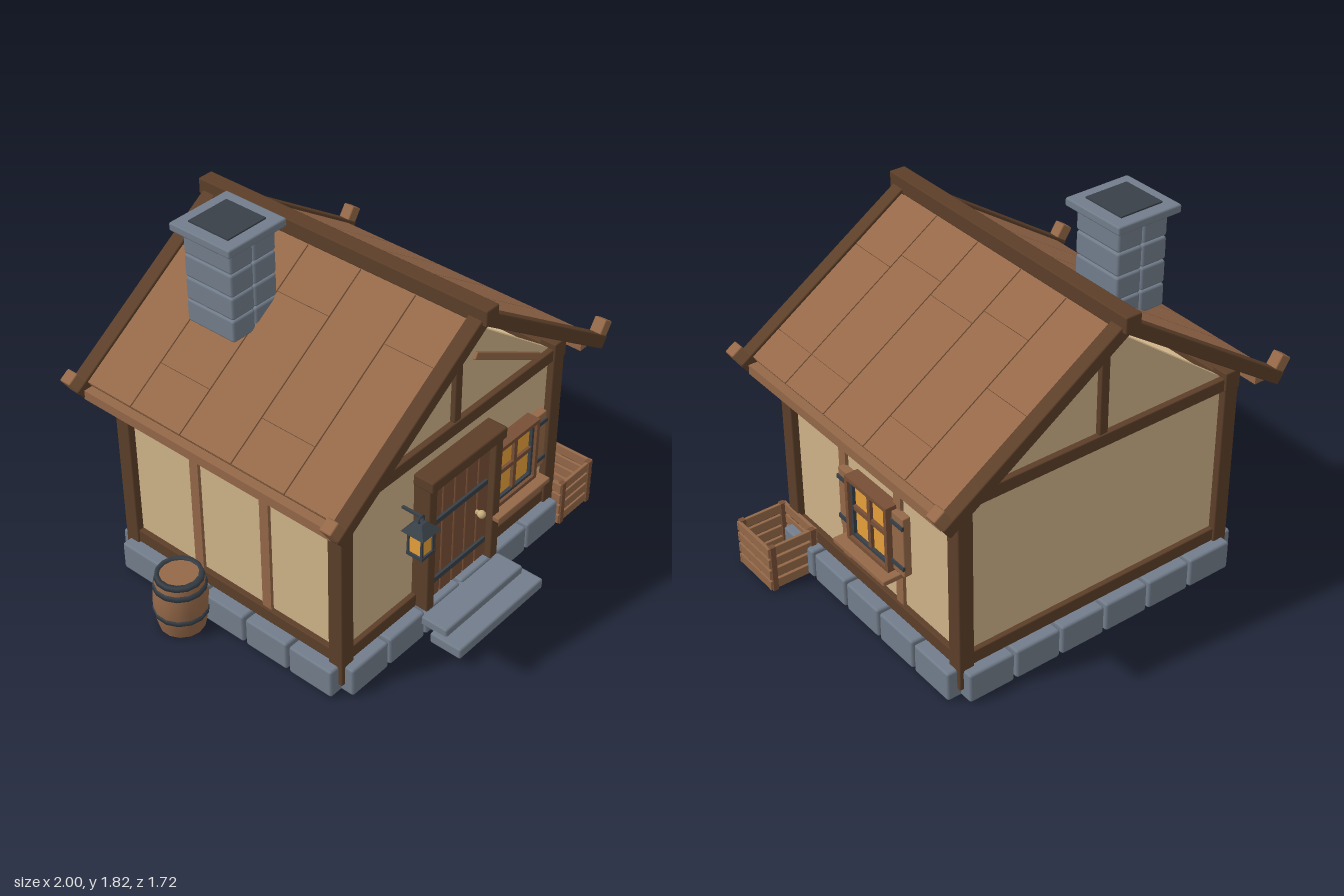
import * as THREE from 'three';
import { RoundedBoxGeometry } from 'three/addons/geometries/RoundedBoxGeometry.js';

const mat = (name, color) => {
  const m = new THREE.MeshStandardMaterial({ color });
  m.name = name;
  return m;
};

export function createModel() {
  const plaster = mat('plaster', 0xcfb388);
  const timber = mat('darkTimber', 0x5c3f29);
  const wood = mat('lightWood', 0x946848);
  const doorWood = mat('doorWood', 0x774f35);
  const stone = mat('stone', 0x727d8b);
  const iron = mat('iron', 0x384048);
  const glass = mat('warmGlass', 0xe6a03a);
  const brass = mat('brass', 0xc8ae7c);

  const Z = -0.07; // middle of the house in z
  const root = new THREE.Group();
  root.name = 'cottage';

  const group = (name, parent = root) => {
    const g = new THREE.Group();
    g.name = name;
    parent.add(g);
    return g;
  };
  const add = (parent, name, geo, m) => {
    const mesh = new THREE.Mesh(geo, m);
    mesh.name = name;
    parent.add(mesh);
    return mesh;
  };
  // Box given by its limits, with an optional softened edge
  const box = (parent, name, m, x0, x1, y0, y1, z0, z1, r = 0) => {
    const s = [x1 - x0, y1 - y0, z1 - z0];
    const geo = r ? new RoundedBoxGeometry(...s, 1, r) : new THREE.BoxGeometry(...s);
    const mesh = add(parent, name, geo, m);
    mesh.position.set((x0 + x1) / 2, (y0 + y1) / 2, (z0 + z1) / 2);
    return mesh;
  };

  // Stone footing: four rows that leave a notch at each corner for the post
  const footing = group('footing');
  for (let i = 0; i < 6; i++) {
    const x = (i - 2.5) * 0.246;
    for (const s of [-1, 1]) {
      const z = Z + s * 0.62;
      box(footing, 'footingStone', stone, x - 0.117, x + 0.117, 0.01, 0.158, z - 0.075, z + 0.075, 0.012);
    }
  }
  for (let i = 0; i < 5; i++) {
    const z = Z + (i - 2) * 0.255;
    for (const s of [-1, 1]) {
      const x = s * 0.725;
      box(footing, 'footingStone', stone, x - 0.075, x + 0.075, 0.01, 0.158, z - 0.12, z + 0.12, 0.012);
    }
  }

  // Plaster walls and gables
  const walls = group('walls');
  box(walls, 'wallBlock', plaster, -0.715, 0.715, 0.13, 1.0, Z - 0.615, Z + 0.615);
  const tri = new THREE.Shape([[-0.715, 0.998], [0.715, 0.998], [0, 1.53]].map(p => new THREE.Vector2(...p)));
  for (const s of [-1, 1]) {
    const gable = add(walls, 'gable', new THREE.ExtrudeGeometry(tri, { depth: 0.04, bevelEnabled: false }), plaster);
    gable.position.z = Z + s * 0.595 - 0.02;
  }

  // Timber frame
  const frame = group('timberFrame');
  for (const sz of [-1, 1]) {
    const z = Z + sz * 0.612;
    for (const sx of [-1, 1]) {
      const x = sx * 0.713;
      box(frame, 'cornerPost', timber, x - 0.038, x + 0.038, 0.055, 1.05, z - 0.038, z + 0.038, 0.006);
      box(frame, 'postCap', timber, x - 0.042, x + 0.042, 0.965, 1.06, z - 0.042, z + 0.042, 0.006);
    }
    box(frame, 'sillBeam', timber, -0.68, 0.68, 0.158, 0.225, z - 0.028, z + 0.028, 0.005);
    box(frame, 'tieBeam', timber, -0.72, 0.72, 0.967, 1.03, z - 0.032, z + 0.032, 0.005);
    box(frame, 'kingPost', timber, -0.022, 0.022, 1.03, 1.55, z - 0.028, z + 0.028, 0.005);
  }
  for (const s of [-1, 1]) {
    const x = s * 0.713;
    box(frame, 'sideSill', timber, x - 0.028, x + 0.028, 0.158, 0.225, -0.65, 0.51, 0.005);
    box(frame, 'sideTopBeam', timber, x - 0.03, x + 0.03, 0.965, 1.03, -0.65, 0.51, 0.005);
    for (const z of [0.135, -0.27]) {
      box(frame, 'wallStud', wood, x - 0.018, x + 0.018, 0.22, 0.97, z - 0.025, z + 0.025);
    }
    const brace = add(frame, 'gableBrace', new RoundedBoxGeometry(0.53, 0.036, 0.04, 1, 0.005), wood);
    brace.position.set(s * 0.355, 1.163, 0.54);
    brace.rotation.z = -s * 0.5;
  }

  // Roof: each slope has its own frame, x down the slope and y out of it
  const roof = group('roof');
  const pitch = Math.atan(2 / 3);
  const rightBreaks = [[0.5], [0.25, 0.82], [0.32], [0.25, 0.82], [0.32, 0.82]];
  const leftBreaks = [[0.26], [0.76], [0.26], [0.76], [0.26]];
  for (const s of [1, -1]) {
    const side = group(s > 0 ? 'leftSlope' : 'rightSlope', roof);
    side.position.z = Z;
    side.rotation.y = s > 0 ? 0 : Math.PI;
    const slope = group('slope', side);
    slope.position.y = 1.566;
    slope.rotation.z = -pitch;
    box(slope, 'roofUnderlay', wood, 0, 0.985, 0.002, 0.032, -0.698, 0.698);
    (s > 0 ? rightBreaks : leftBreaks).forEach((cuts, i) => {
      const z0 = -0.7 + [0, 0.265, 0.555, 0.845, 1.135][i];
      const z1 = -0.7 + [0.265, 0.555, 0.845, 1.135, 1.4][i];
      const edges = [0.02, ...cuts, 0.985];
      for (let k = 0; k + 1 < edges.length; k++) {
        box(slope, 'roofBoard', wood, edges[k] + 0.001, edges[k + 1] - 0.001, 0.03, 0.048, z0 + 0.003, z1 - 0.003);
      }
    });
    box(side, 'eaveBoard', wood, 0.8, 0.87, 0.982, 1.028, -0.7, 0.7);
    for (const z of [-0.732, 0.732]) {
      box(slope, 'bargeBoard', timber, -0.035, 1.045, 0, 0.062, z - 0.036, z + 0.036, 0.006);
      box(slope, 'bargeEnd', wood, 0.985, 1.047, 0.035, 0.13, z - 0.03, z + 0.03, 0.006);
    }
  }
  box(roof, 'ridgeBeam', timber, -0.04, 0.04, 1.59, 1.667, -0.86, 0.72, 0.006);

  // Chimney of four courses, two long blocks each
  const chimney = group('chimney');
  for (let row = 0; row < 4; row++) {
    const y = 1.342 + row * 0.111;
    for (const s of [-1, 1]) {
      const x = -0.385 + s * 0.067;
      box(chimney, 'chimneyBlock', stone, x - 0.065, x + 0.065, y, y + 0.107, -0.472, -0.204, 0.011);
    }
  }
  box(chimney, 'chimneyCap', stone, -0.555, -0.217, 1.783, 1.822, -0.51, -0.172, 0.008);
  box(chimney, 'flueOpening', iron, -0.5, -0.278, 1.82, 1.829, -0.452, -0.23);

  // Door with jambs, lintel, straps and knob
  const door = group('door');
  box(door, 'doorBacking', timber, -0.2, 0.2, 0.165, 0.84, 0.54, 0.582);
  for (let i = 0; i < 5; i++) {
    const x = -0.205 + i * 0.082;
    box(door, 'doorPlank', doorWood, x + 0.003, x + 0.079, 0.175, 0.84, 0.56, 0.6, 0.005);
  }
  for (const s of [-1, 1]) {
    box(door, 'doorJamb', timber, s * 0.226 - 0.025, s * 0.226 + 0.025, 0.158, 0.84, 0.53, 0.632, 0.006);
  }
  box(door, 'lintel', timber, -0.255, 0.255, 0.832, 0.89, 0.53, 0.648, 0.008);
  for (const y of [0.282, 0.613]) {
    box(door, 'strapHinge', iron, -0.185, 0.18, y - 0.013, y + 0.013, 0.598, 0.612);
  }
  add(door, 'doorKnob', new THREE.SphereGeometry(0.02, 10, 8), brass).position.set(0.12, 0.475, 0.63);
  box(door, 'knobStem', brass, 0.113, 0.127, 0.468, 0.482, 0.598, 0.625);
  box(door, 'lowerStep', stone, -0.3, 0.3, 0.052, 0.108, 0.69, 0.858, 0.01);
  box(door, 'upperStep', stone, -0.275, 0.275, 0.095, 0.145, 0.6, 0.762, 0.01);

  // Window facing +z, centred on its own origin
  const addWindow = (name, shutterSides) => {
    const w = group(name);
    const ring = (part, m, hw, hh, t, d) => {
      for (const s of [-1, 1]) {
        box(w, part, m, s * (hw - t / 2) - t / 2, s * (hw - t / 2) + t / 2, -hh, hh, 0, d);
        box(w, part, m, -hw + t, hw - t, s * (hh - t / 2) - t / 2, s * (hh - t / 2) + t / 2, 0, d);
      }
    };
    ring('windowFrame', doorWood, 0.153, 0.167, 0.02, 0.07);
    ring('windowInnerRim', iron, 0.133, 0.147, 0.014, 0.055);
    box(w, 'windowPane', glass, -0.12, 0.12, -0.135, 0.135, 0.03, 0.039);
    box(w, 'mullion', doorWood, -0.011, 0.011, -0.135, 0.135, 0.035, 0.055);
    box(w, 'transom', doorWood, -0.12, 0.12, -0.003, 0.02, 0.035, 0.053);
    box(w, 'windowSill', wood, -0.192, 0.192, -0.193, -0.167, 0, 0.12, 0.005);
    for (const s of shutterSides) {
      const x = s * 0.197;
      box(w, 'shutter', wood, x - 0.042, x + 0.042, -0.152, 0.152, 0.005, 0.045, 0.005);
      for (const y of [-0.105, 0.105]) {
        box(w, 'shutterStrap', iron, x - 0.043, x + 0.043, y - 0.01, y + 0.01, 0.04, 0.052);
      }
    }
    return w;
  };
  addWindow('frontWindow', [1]).position.set(0.395, 0.577, 0.545);
  const sideWindow = addWindow('sideWindow', [-1, 1]);
  sideWindow.position.set(0.715, 0.577, -0.113);
  sideWindow.rotation.y = Math.PI / 2;

  // Hanging lantern
  const lantern = group('lantern');
  lantern.position.set(-0.325, 0, 0.645);
  box(lantern, 'lanternBase', iron, -0.043, 0.043, 0.562, 0.578, -0.043, 0.043);
  box(lantern, 'lanternGlass', glass, -0.034, 0.034, 0.578, 0.69, -0.034, 0.034);
  box(lantern, 'lanternBand', iron, -0.042, 0.042, 0.68, 0.695, -0.042, 0.042);
  for (const sx of [-1, 1]) for (const sz of [-1, 1]) {
    box(lantern, 'lanternBar', iron, sx * 0.036 - 0.005, sx * 0.036 + 0.005, 0.575, 0.69, sz * 0.036 - 0.005, sz * 0.036 + 0.005);
  }
  const hood = add(lantern, 'lanternHood', new THREE.CylinderGeometry(0.025, 0.085, 0.045, 4).toNonIndexed(), iron);
  hood.geometry.computeVertexNormals();
  hood.rotation.y = Math.PI / 4;
  hood.position.y = 0.712;
  add(lantern, 'lanternRing', new THREE.TorusGeometry(0.018, 0.005, 6, 12), iron).position.y = 0.747;
  box(lantern, 'lanternBracket', iron, -0.006, 0.006, 0.755, 0.767, -0.105, 0.005);

  // Barrel
  const barrel = group('barrel');
  barrel.position.set(-0.875, 0, -0.25);
  const radius = y => 0.125 - 0.021 * ((y - 0.15) / 0.15) ** 2;
  const lathe = (name, m, pts) =>
    add(barrel, name, new THREE.LatheGeometry(pts.map(p => new THREE.Vector2(...p)), 14), m);
  const staves = [0.005, 0.05, 0.1, 0.15, 0.2, 0.25, 0.288].map(y => [radius(y), y]);
  lathe('barrelStaves', wood, staves);
  lathe('barrelBottom', wood, [[0, 0.005], [radius(0.005), 0.005]]);
  lathe('barrelLid', wood, [[radius(0.288), 0.288], [0, 0.288]]);
  for (const [a, b] of [[0.09, 0.115], [0.23, 0.255], [0.28, 0.3]]) {
    lathe('barrelHoop', iron, [[radius(a) - 0.016, a], [radius(a) + 0.004, a], [radius(b) + 0.004, b], [radius(b) - 0.016, b], [radius(a) - 0.016, a]]);
  }

  // Slatted open crate
  const crate = group('crate');
  crate.position.set(0.87, 0, 0.495);
  for (let i = 0; i < 4; i++) {
    const y = 0.01 + i * 0.061;
    for (const s of [-1, 1]) {
      box(crate, 'crateSlat', wood, -0.13, 0.13, y, y + 0.049, s * 0.125 - 0.008, s * 0.125 + 0.008, 0.003);
      box(crate, 'crateSideSlat', wood, s * 0.12 - 0.008, s * 0.12 + 0.008, y, y + 0.049, -0.133, 0.133, 0.003);
    }
  }
  for (const sx of [-1, 1]) for (const sz of [-1, 1]) {
    box(crate, 'cratePost', doorWood, sx * 0.105 - 0.013, sx * 0.105 + 0.013, 0.005, 0.245, sz * 0.125 - 0.013, sz * 0.125 + 0.013);
  }
  box(crate, 'crateFloor', wood, -0.12, 0.12, 0.012, 0.026, -0.12, 0.12);

  return root;
}
